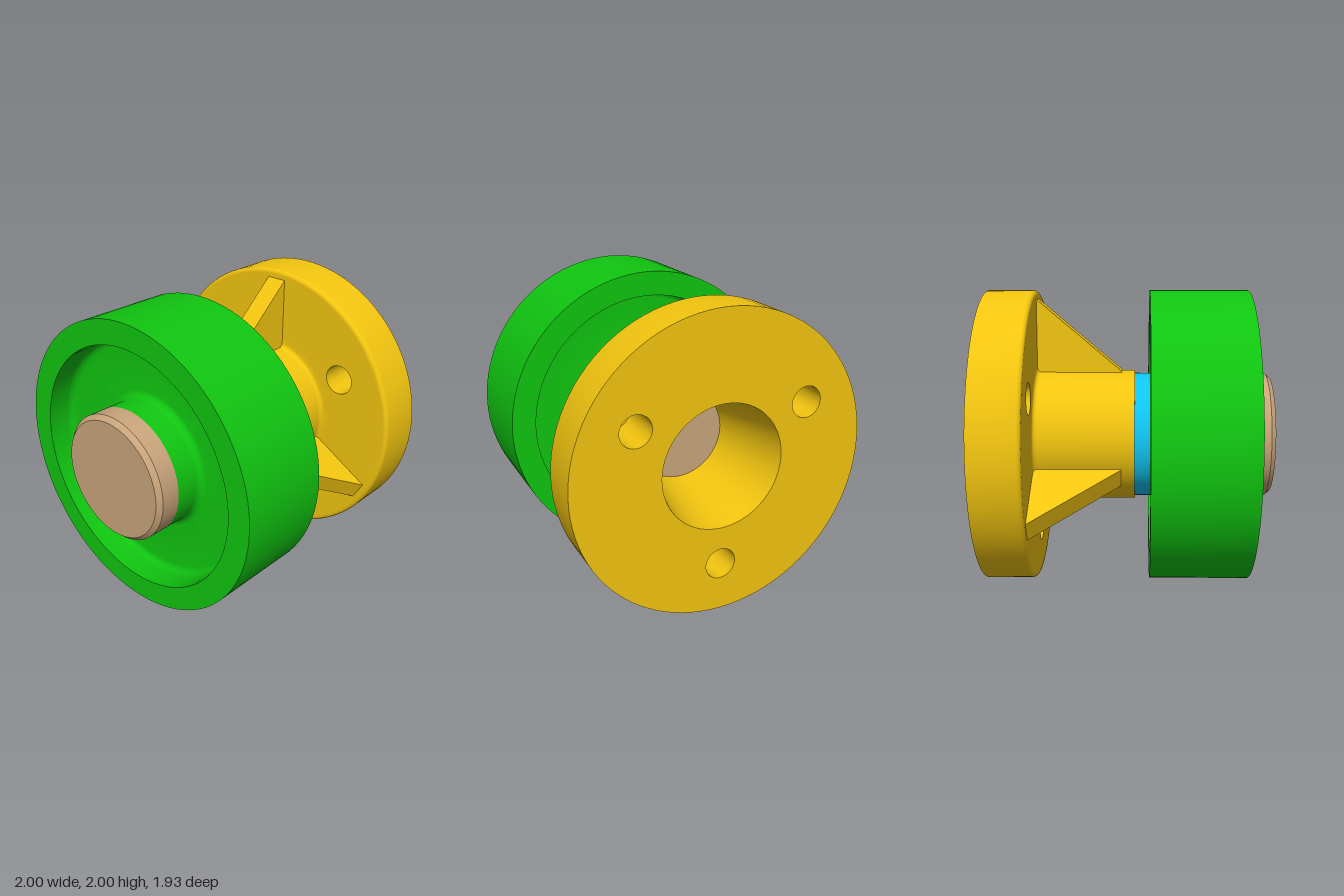
import * as THREE from 'three';
import { toCreasedNormals } from 'three/addons/utils/BufferGeometryUtils.js';

const SEG = 96;
const mat = (color) => new THREE.MeshStandardMaterial({ color });
const yellow = mat(0xf1c40f), green = mat(0x10c410), blue = mat(0x10c4f1);
const tan = mat(0xc8a47a), steel = mat(0xa4a4b4);

// Points of a fillet in the (radius, z) profile plane
function arc(cr, cz, r, from, to, n = 6) {
  return Array.from({ length: n + 1 }, (_, i) => {
    const a = (from + ((to - from) * i) / n) * Math.PI;
    return [cr + r * Math.cos(a), cz + r * Math.sin(a)];
  });
}

// Turned part about the z axis, from a counter-clockwise (radius, z) profile
function turned(name, profile, material) {
  const geo = new THREE.LatheGeometry(profile.map(([r, z]) => new THREE.Vector2(r, z)), SEG);
  geo.rotateX(Math.PI / 2);
  const mesh = new THREE.Mesh(toCreasedNormals(geo, 0.5), material);
  mesh.name = name;
  return mesh;
}

function circlePath(x, y, r) {
  return new THREE.Path().absarc(x, y, r, 0, Math.PI * 2, true);
}

function createBracket() {
  const bracket = new THREE.Group();
  bracket.name = 'bracket';
  const back = -0.965, face = -0.635;

  // Hub with a tapered bore at the back and a straight bearing bore
  bracket.add(turned('bracketHub', [
    [0.414, back], [0.52, back], [0.52, face],
    ...arc(0.48, face + 0.03, 0.03, -0.5, -1),
    [0.45, 0.035], [0.31, 0.035], [0.31, -0.37], [0.414, back],
  ], yellow));

  // Flange plate with three bolt holes
  const plate = new THREE.Shape().absarc(0, 0, 0.97, 0, Math.PI * 2);
  plate.holes.push(circlePath(0, 0, 0.515));
  for (const deg of [30, 150, 270]) {
    const a = THREE.MathUtils.degToRad(deg);
    plate.holes.push(circlePath(0.67 * Math.cos(a), 0.67 * Math.sin(a), 0.104));
  }
  const plateGeo = new THREE.ExtrudeGeometry(plate, {
    depth: face - back, bevelEnabled: false, curveSegments: SEG / 2,
  });
  plateGeo.translate(0, 0, back);
  const flange = new THREE.Mesh(toCreasedNormals(plateGeo, 0.5), yellow);
  flange.name = 'flangePlate';
  bracket.add(flange);

  // Outer rim of the flange, rounded on its front edge
  bracket.add(turned('flangeRim', [
    [0.965, back], [1, back], ...arc(0.97, face - 0.03, 0.03, 0, 0.5), [0.965, face],
  ], yellow));

  // Three triangular stiffening ribs
  const side = new THREE.Shape([
    [-0.65, 0.4], [-0.055, 0.4], [-0.055, 0.45], [face, 0.94], [-0.65, 0.94],
  ].map(([z, r]) => new THREE.Vector2(z, r)));
  const ribGeo = new THREE.ExtrudeGeometry(side, { depth: 0.144, bevelEnabled: false });
  ribGeo.translate(0, 0, -0.072);
  ribGeo.rotateY(-Math.PI / 2);
  for (let i = 0; i < 3; i++) {
    const rib = new THREE.Mesh(ribGeo, yellow);
    rib.name = 'rib' + (i + 1);
    rib.rotation.z = (i * Math.PI * 2) / 3;
    bracket.add(rib);
  }

  // Lip round the set screw hole
  const lip = new THREE.Mesh(new THREE.TorusGeometry(0.056, 0.006, 8, 32), yellow);
  lip.name = 'screwHoleLip';
  lip.rotation.y = Math.PI / 2;
  lip.position.set(0.447, 0, -0.365);
  bracket.add(lip);
  return bracket;
}

function createWheel() {
  const f = 0.05, hub = 0.43, rim = 0.835, web0 = 0.33, web1 = 0.6;
  return turned('wheel', [
    [0.31, 0.135], [hub, 0.135],
    ...arc(hub + f, web0 - f, f, 1, 0.5),
    ...arc(rim - f, web0 - f, f, 0.5, 0),
    [rim, 0.135], [1, 0.135], [1, 0.8], [rim, 0.8],
    ...arc(rim - f, web1 + f, f, 0, -0.5),
    ...arc(hub + f, web1 + f, f, -0.5, -1),
    [hub, 0.8], [0.31, 0.8], [0.31, 0.135],
  ], green);
}

export function createModel() {
  const model = new THREE.Group();
  model.name = 'flangedWheelAssembly';
  const body = new THREE.Group();
  body.name = 'body';
  body.position.y = 1;
  model.add(body);

  body.add(createBracket(), createWheel());

  // Spacer between bracket and wheel
  body.add(turned('spacerWasher', [
    [0.31, 0.035], [0.43, 0.035], [0.43, 0.135], [0.31, 0.135], [0.31, 0.035],
  ], blue));

  // Axle with a chamfered head
  body.add(turned('axle', [
    [0, -0.37], [0.309, -0.37], [0.309, 0.8], [0.43, 0.8],
    [0.43, 0.933], [0.4, 0.965], [0, 0.965],
  ], tan));

  // Set screw entering the hub from the side
  const screw = turned('setScrew', [
    [0, 0.3], [0.05, 0.3], [0.05, 0.442], [0.036, 0.453], [0, 0.453],
  ], steel);
  screw.rotation.y = Math.PI / 2;
  screw.position.z = -0.365;
  body.add(screw);
  return model;
}
